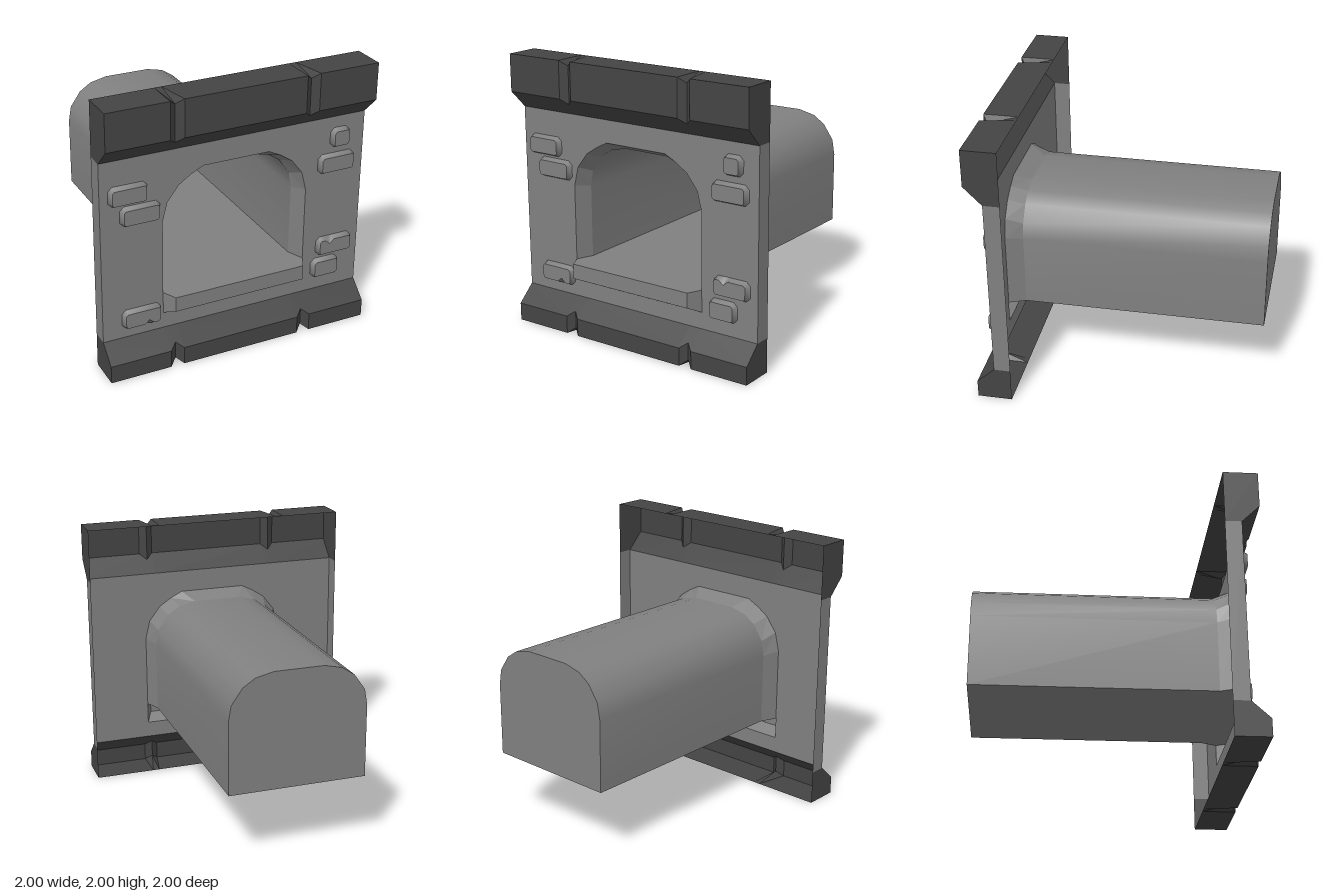
import * as THREE from 'three';
import { toCreasedNormals } from 'three/addons/utils/BufferGeometryUtils.js';

const wallMat = new THREE.MeshStandardMaterial({ color: 0x808080, side: THREE.DoubleSide });
const trimMat = new THREE.MeshStandardMaterial({ color: 0x444444, side: THREE.DoubleSide });

// Skin between successive rings of [x, y, z] points; flat unless a crease angle is given
function loft(rings, crease = 0) {
  const pos = [];
  for (let i = 0; i < rings.length - 1; i++) {
    for (let j = 0; j < rings[i].length - 1; j++) {
      const a = rings[i][j], b = rings[i + 1][j], c = rings[i + 1][j + 1], d = rings[i][j + 1];
      pos.push(...a, ...d, ...c, ...a, ...c, ...b);
    }
  }
  const geo = new THREE.BufferGeometry();
  geo.setAttribute('position', new THREE.Float32BufferAttribute(pos, 3));
  geo.computeVertexNormals();
  return crease ? toCreasedNormals(geo, crease) : geo;
}

const toShape = (pts) => new THREE.Shape(pts.map(([x, y]) => new THREE.Vector2(x, y)));
const flat = (pts, z) => new THREE.ShapeGeometry(toShape(pts)).translate(0, 0, z);
const atZ = (pts, z) => pts.map(([x, y]) => [x, y, z]);

function add(parent, name, geo, mat = wallMat) {
  const mesh = new THREE.Mesh(geo, mat);
  mesh.name = name;
  parent.add(mesh);
  return mesh;
}

// Right half of an arch mirrored into a full outline, right foot to left foot
const mirrorArch = (half) => [...half, ...half.map(([x, y]) => [-x, y]).reverse()];

const BACK = 0.75, FACE = 0.87, FLOOR = 0.53;
const outerArch = mirrorArch([[0.55, FLOOR], [0.55, 1.08], [0.515, 1.22], [0.43, 1.33], [0.34, 1.39], [0.25, 1.435]]);
const innerArch = mirrorArch([[0.5, FLOOR], [0.5, 1.06], [0.48, 1.175], [0.4, 1.29], [0.31, 1.35], [0.18, 1.38]]);

// Trim beam: [z, y] profile swept along x, swapped for a deeper one at each groove
function trim(parent, name, plain, groove, corner) {
  const group = new THREE.Group();
  group.name = name;
  const stations = [[-1], [-0.55], [-0.5, true], [-0.45], [0.45], [0.5, true], [0.55], [1]];
  const rings = stations.map(([x, cut]) => (cut ? groove : plain).map(([z, y]) => [x, y, z]));
  add(group, name + 'Face', loft(rings), trimMat);
  for (const x of [-1, 1]) {
    const cap = new THREE.ShapeGeometry(toShape([...plain, corner])).rotateY(-Math.PI / 2).translate(x, 0, 0);
    add(group, name + 'End', cap, trimMat);
  }
  parent.add(group);
}

// Raised brick with clipped corners and bevelled rim; chip is [x, side] with side +1 top, -1 bottom
function brick(parent, [x0, x1, y0, y1, chip]) {
  const outline = (inset, chipDepth) => {
    const l = x0 + inset, r = x1 - inset, b = y0 + inset, t = y1 - inset, c = 0.03 - inset * 0.9;
    const notch = (side, y) => {
      if (!chip || chip[1] !== side) return [];
      const pts = [-0.035, 0, 0.035].map((d) => [chip[0] + d, d === 0 ? y - side * chipDepth : y]);
      return side > 0 ? pts : pts.reverse();
    };
    return [[l, t - c], [l + c, t], ...notch(1, t), [r - c, t], [r, t - c],
      [r, b + c], [r - c, b], ...notch(-1, b), [l + c, b], [l, b + c], [l, t - c]];
  };
  const base = outline(0, 0), front = outline(0.018, 0.03);
  const group = new THREE.Group();
  group.name = 'brick';
  add(group, 'brickRim', loft([atZ(front, 0.91), atZ(base, FACE)], 0.9));
  add(group, 'brickFace', flat(front.slice(0, -1), 0.91));
  parent.add(group);
}

export function createModel() {
  const model = new THREE.Group();
  model.name = 'wallWithTunnel';

  // Wall panel with the arched opening, and its narrow edges
  const panel = toShape([[-1, 0.25], [1, 0.25], [1, 1.6], [-1, 1.6]]);
  panel.holes.push(toShape([[0.55, 0.37], ...outerArch, [-0.55, 0.37]]));
  add(model, 'wallPanel', new THREE.ShapeGeometry(panel).translate(0, 0, FACE));
  for (const x of [-1, 1]) {
    const edge = new THREE.PlaneGeometry(FACE - BACK, 1.35).rotateY(x * Math.PI / 2);
    add(model, 'wallEdge', edge.translate(x, 0.925, (FACE + BACK) / 2));
  }

  // Grooved beams along the top and bottom
  trim(model, 'topTrim',
    [[BACK, 2], [1, 2], [1, 1.73], [FACE, 1.6]],
    [[BACK, 2], [0.96, 1.96], [0.96, 1.69], [FACE, 1.6]], [BACK, 1.6]);
  trim(model, 'bottomTrim',
    [[FACE, 0.25], [1, 0.13], [1, 0], [BACK, 0]],
    [[FACE, 0.25], [0.96, 0.167], [0.96, 0.04], [BACK, 0]], [BACK, 0.25]);

  // Bevelled arch frame leading into the tunnel
  add(model, 'archBevel', loft([atZ(outerArch, FACE), atZ(innerArch, BACK)]));
  add(model, 'tunnelVault', loft([atZ(innerArch, BACK), atZ(innerArch, -1)], 0.6));
  add(model, 'tunnelEnd', flat(innerArch, -1));
  const floorLine = (w, z) => [[-w, FLOOR, z], [w, FLOOR, z]];
  add(model, 'tunnelFloor', loft([floorLine(0.5, 0.97), floorLine(0.55, FACE), floorLine(0.5, BACK), floorLine(0.5, -1)].reverse()));

  // Projecting sill under the opening
  const sillBase = [[-0.55, FLOOR], [-0.55, 0.37], [0.55, 0.37], [0.55, FLOOR]];
  const sillFront = [[-0.5, FLOOR], [-0.5, 0.42], [0.5, 0.42], [0.5, FLOOR]];
  add(model, 'sillBevel', loft([atZ(sillBase, FACE), atZ(sillFront, 0.97)]));
  add(model, 'sillFace', flat(sillFront, 0.97));

  // Scattered raised bricks
  const bricks = [
    [-0.94, -0.66, 1.27, 1.415], [-0.86, -0.57, 1.11, 1.255],
    [0.73, 0.88, 1.37, 1.515], [0.64, 0.925, 1.18, 1.325],
    [0.655, 0.94, 0.525, 0.668, [0.75, 1]], [0.62, 0.84, 0.35, 0.5],
    [-0.86, -0.57, 0.32, 0.465, [-0.67, -1]],
  ];
  bricks.forEach((b) => brick(model, b));
  return model;
}
